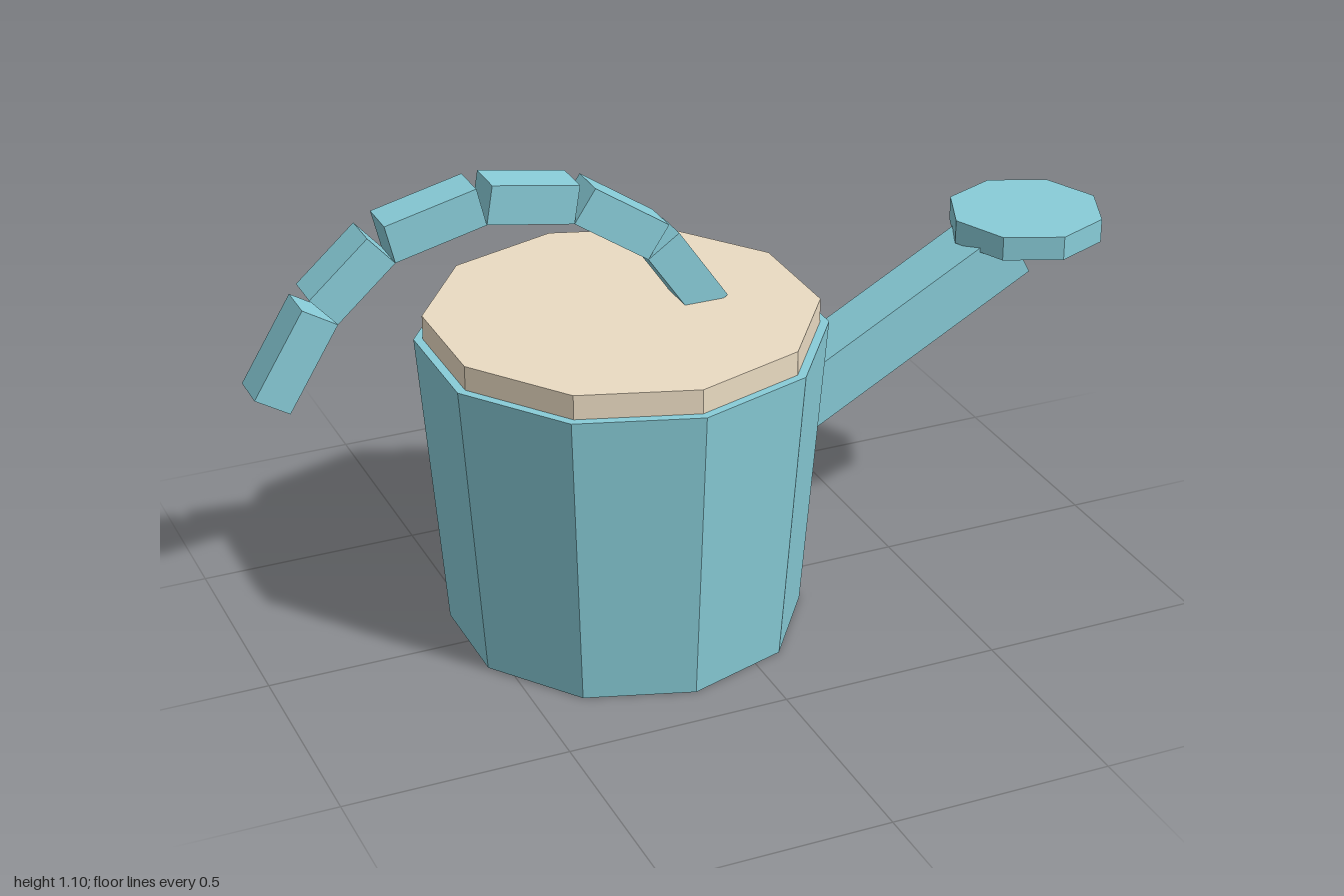
import * as THREE from 'three';

const paint = new THREE.MeshStandardMaterial({ color: 0x88ccd8, flatShading: true });
const cream = new THREE.MeshStandardMaterial({ color: 0xeadbc2, flatShading: true });

export function createModel() {
  const group = new THREE.Group();

  // Upright faceted drum standing on y
  function drum(name, rTop, rBottom, height, sides, x, y, material) {
    const mesh = new THREE.Mesh(new THREE.CylinderGeometry(rTop, rBottom, height, sides), material);
    mesh.position.set(x, y + height / 2, 0);
    mesh.name = name;
    group.add(mesh);
  }

  // Box whose lower edge runs from a to b in the xy plane
  function beam(name, a, b, thickness, depth, parent) {
    const dx = b[0] - a[0], dy = b[1] - a[1], length = Math.hypot(dx, dy);
    const mesh = new THREE.Mesh(new THREE.BoxGeometry(length, thickness, depth), paint);
    mesh.position.set(
      (a[0] + b[0]) / 2 - (dy / length) * thickness / 2,
      (a[1] + b[1]) / 2 + (dx / length) * thickness / 2, 0);
    mesh.rotation.z = Math.atan2(dy, dx);
    mesh.name = name;
    parent.add(mesh);
  }

  // Tapered body with a lid set in from its rim
  drum('body', 0.45, 0.395, 0.69, 10, -0.165, 0, paint);
  drum('lid', 0.43, 0.43, 0.055, 10, -0.165, 0.69, cream);

  // Slanted spout and the sprinkler head on its end
  beam('spout', [0.12, 0.31], [0.80, 0.68], 0.132, 0.132, group);
  drum('sprinklerHead', 0.177, 0.177, 0.055, 8, 0.821, 0.75, paint);

  // Arched handle: straight segments meeting along the inner curve
  const handle = new THREE.Group();
  handle.name = 'handle';
  const inner = [[-0.925, 0.665], [-0.813, 0.848], [-0.684, 0.963], [-0.483, 1.012],
    [-0.289, 0.98], [-0.122, 0.868], [-0.008, 0.702]];
  for (let i = 0; i < inner.length - 1; i++) {
    beam('handleSegment' + (i + 1), inner[i], inner[i + 1], 0.087, 0.09, handle);
  }
  group.add(handle);

  return group;
}
